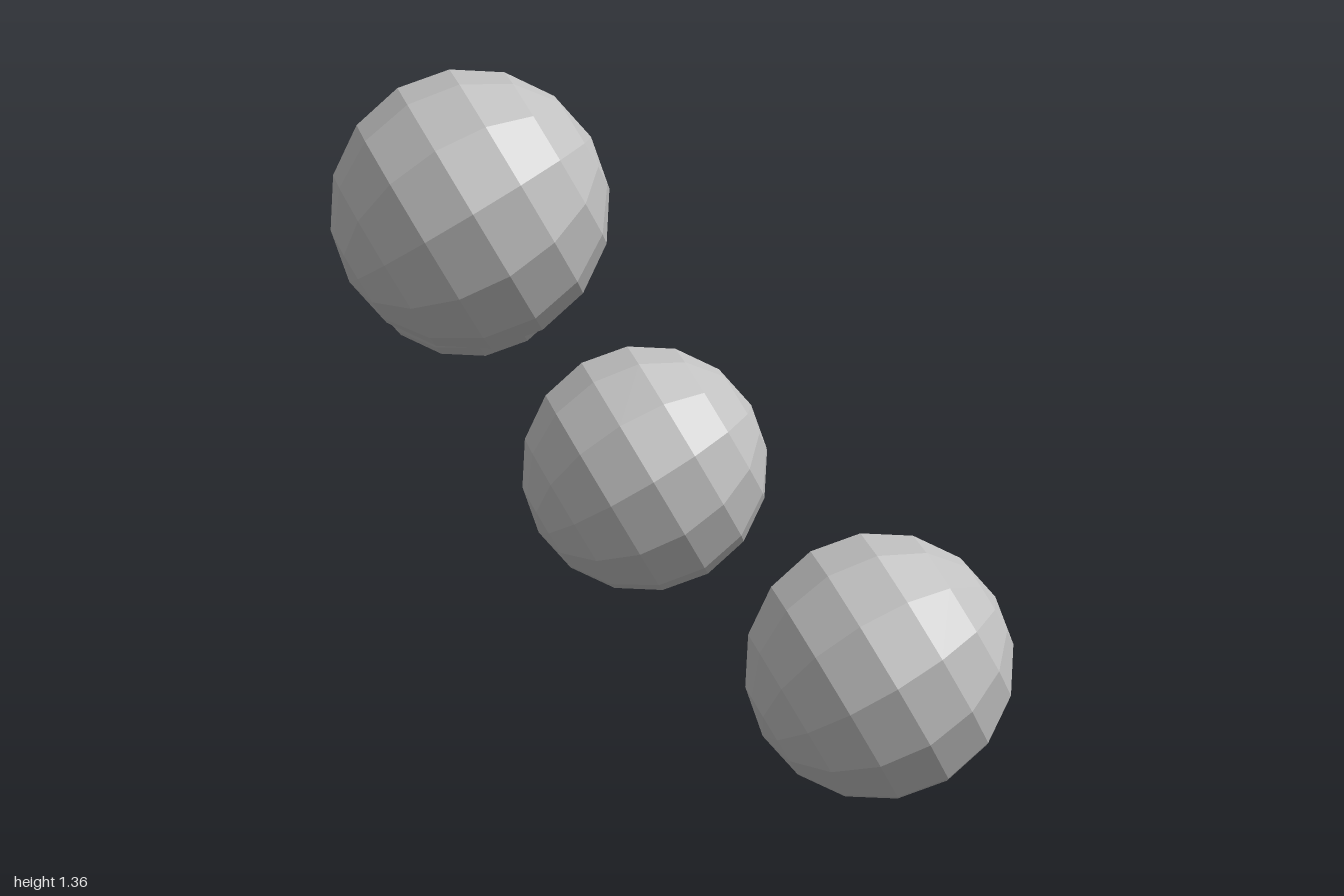
import * as THREE from 'three';

export function createModel() {
  const model = new THREE.Group();
  model.name = 'floatingBalls';

  const grey = new THREE.MeshStandardMaterial({ color: 0xc0c0c0 });
  grey.name = 'plain grey';

  // Faceted ball, its poles tilted the same way for every copy
  const poleAxis = new THREE.Vector3(-0.56, -0.5, 0.66).normalize();
  const tilt = new THREE.Quaternion().setFromUnitVectors(new THREE.Vector3(0, 1, 0), poleAxis);
  const ballShape = new THREE.SphereGeometry(0.25, 12, 8).toNonIndexed();
  ballShape.applyQuaternion(tilt);
  ballShape.computeVertexNormals();

  // Four separate balls at their centres
  const balls = {
    rightBall: [-0.753, 0.768, -0.515],
    middleBall: [-0.015, 0.445, -0.247],
    leftBall: [0.75, 0.252, -0.018],
    upperFrontBall: [0.222, 1.118, 0.512],
  };
  for (const [name, centre] of Object.entries(balls)) {
    const ball = new THREE.Mesh(ballShape, grey);
    ball.name = name;
    ball.position.set(...centre);
    model.add(ball);
  }
  return model;
}
